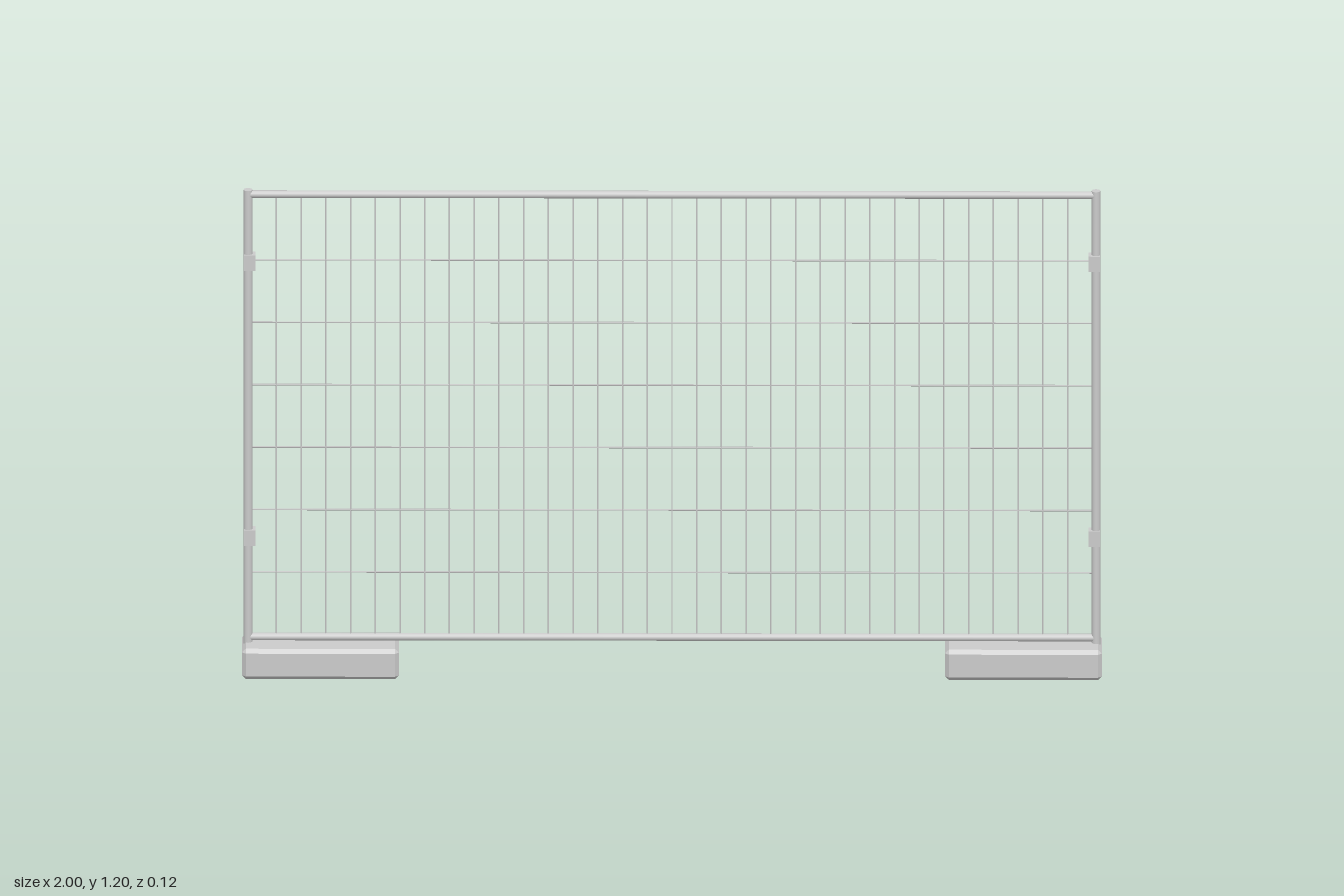
import * as THREE from 'three';
import { ConvexGeometry } from 'three/addons/geometries/ConvexGeometry.js';

const grey = new THREE.MeshStandardMaterial({ color: 0xcccccc });
const flatGrey = new THREE.MeshStandardMaterial({ color: 0xcccccc, flatShading: true });

// Box with every edge and corner chamfered by c
function chamferedBox(w, h, d, c) {
  const points = [];
  for (const x of [-1, 1]) for (const y of [-1, 1]) for (const z of [-1, 1]) {
    for (let full = 0; full < 3; full++) {
      const half = [w, h, d].map((s, axis) => s / 2 - (axis === full ? 0 : c));
      points.push(new THREE.Vector3(x * half[0], y * half[1], z * half[2]));
    }
  }
  return new ConvexGeometry(points);
}

export function createModel() {
  const model = new THREE.Group();
  model.name = 'fencePanel';

  const add = (name, geometry, material, x, y, z = 0, parent = model) => {
    const mesh = new THREE.Mesh(geometry, material);
    mesh.name = name;
    mesh.position.set(x, y, z);
    parent.add(mesh);
    return mesh;
  };

  const postX = 0.986, railBottom = 0.087, railTop = 1.189;

  // Posts, feet and clips, mirrored left and right
  const post = new THREE.CylinderGeometry(0.0105, 0.0105, 1.14, 12);
  const foot = chamferedBox(0.365, 0.075, 0.116, 0.009);
  const clip = new THREE.BoxGeometry(0.026, 0.038, 0.028);
  for (const [side, s] of [['left', 1], ['right', -1]]) {
    add(side + 'Post', post, grey, s * postX, 0.63);
    add(side + 'Foot', foot, flatGrey, s * 0.8175, 0.0375);
    add(side + 'LowerClip', clip, grey, s * 0.982, 0.337);
    add(side + 'UpperClip', clip, grey, s * 0.982, 1.022);
  }

  // Top and bottom rails
  const rail = new THREE.CylinderGeometry(0.009, 0.009, 2 * postX, 12).rotateZ(Math.PI / 2);
  add('bottomRail', rail, grey, 0, railBottom);
  add('topRail', rail, grey, 0, railTop);

  // Wire mesh
  const wires = new THREE.Group();
  wires.name = 'wireMesh';
  model.add(wires);
  const r = 0.002;
  const upright = new THREE.CylinderGeometry(r, r, railTop - railBottom, 6);
  for (let i = -16; i <= 16; i++) {
    add('verticalWire', upright, grey, i * 0.0575, (railTop + railBottom) / 2, 0, wires);
  }
  const level = new THREE.CylinderGeometry(r, r, 2 * postX, 6).rotateZ(Math.PI / 2);
  for (let i = 0; i < 6; i++) {
    add('horizontalWire', level, grey, 0, 0.248 + i * 0.1555, 0, wires);
  }

  return model;
}
